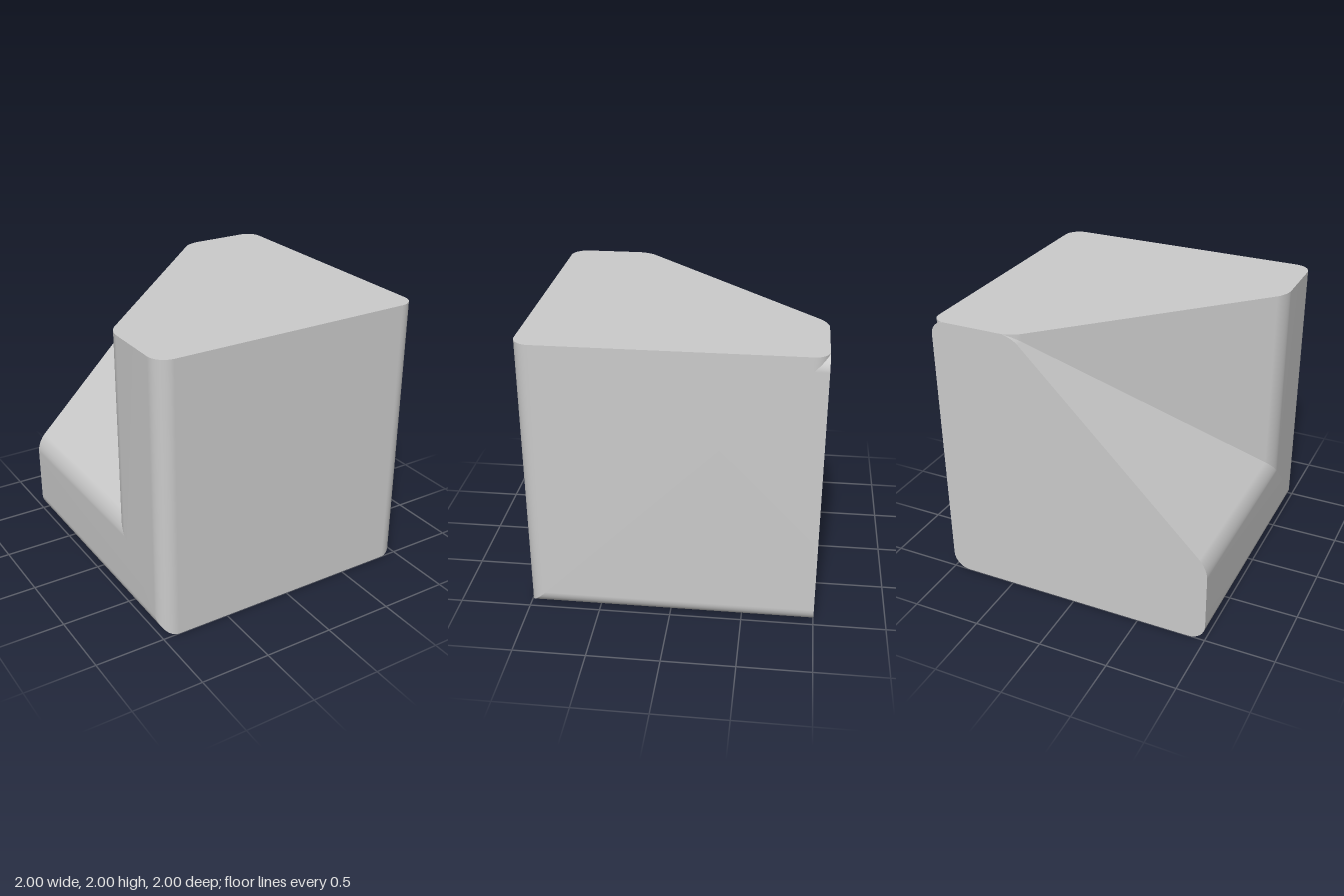
import * as THREE from 'three';

// Profile corners: x, depth from the outer face, fillet length
const corners = [[-1, 0, 0.12], [1, 0, 0.12], [1, 2, 0.1], [0.4, 2, 0.08], [-1, 0.6, 0.08]];

function roundedShape() {
  const shape = new THREE.Shape();
  const n = corners.length;
  corners.forEach(([x, y, r], i) => {
    const c = new THREE.Vector2(x, y);
    const toward = (j, len) => {
      const q = corners[(j + n) % n];
      return new THREE.Vector2(q[0], q[1]).sub(c).setLength(len).add(c);
    };
    const a = toward(i - 1, r), b = toward(i + 1, r);
    const ca = toward(i - 1, r * 0.45), cb = toward(i + 1, r * 0.45);
    if (i === 0) shape.moveTo(a.x, a.y);
    else shape.lineTo(a.x, a.y);
    shape.bezierCurveTo(ca.x, ca.y, cb.x, cb.y, b.x, b.y);
  });
  shape.closePath();
  return shape;
}

// Side wall between two matching rings of points
function wall(upper, lower) {
  const n = upper.length, index = [];
  for (let i = 0; i < n; i++) {
    const j = (i + 1) % n;
    index.push(n + i, n + j, j, n + i, j, i);
  }
  const geo = new THREE.BufferGeometry().setFromPoints([...upper, ...lower]);
  geo.setIndex(index);
  geo.computeVertexNormals();
  return geo;
}

export function createModel() {
  const group = new THREE.Group();
  group.name = 'mitredCornerBlock';
  const material = new THREE.MeshStandardMaterial({ color: 0xcccccc });
  const add = (name, geo) => {
    const mesh = new THREE.Mesh(geo, material);
    mesh.name = name;
    group.add(mesh);
  };

  const shape = roundedShape();
  const points = shape.getPoints(8);
  if (points[0].distanceTo(points[points.length - 1]) < 1e-6) points.pop();
  const ring = (f) => points.map((p) => new THREE.Vector3(...f(p.x, p.y)));

  // The profile runs down from the top, turns at a 45 degree mitre and runs to the back
  const top = ring((x, d) => [x, 2, 1 - d]);
  const mitre = ring((x, d) => [x, d, 1 - d]);
  const back = ring((x, d) => [x, d, -1]);
  add('uprightWalls', wall(top, mitre));
  add('baseWalls', wall(mitre, back));

  // Flat end faces
  add('topFace', new THREE.ShapeGeometry(shape, 8).rotateX(-Math.PI / 2).translate(0, 2, 1));
  const backFace = new THREE.ShapeGeometry(shape, 8).translate(0, 0, -1);
  backFace.index.array.reverse();
  backFace.computeVertexNormals();
  add('backFace', backFace);

  return group;
}
